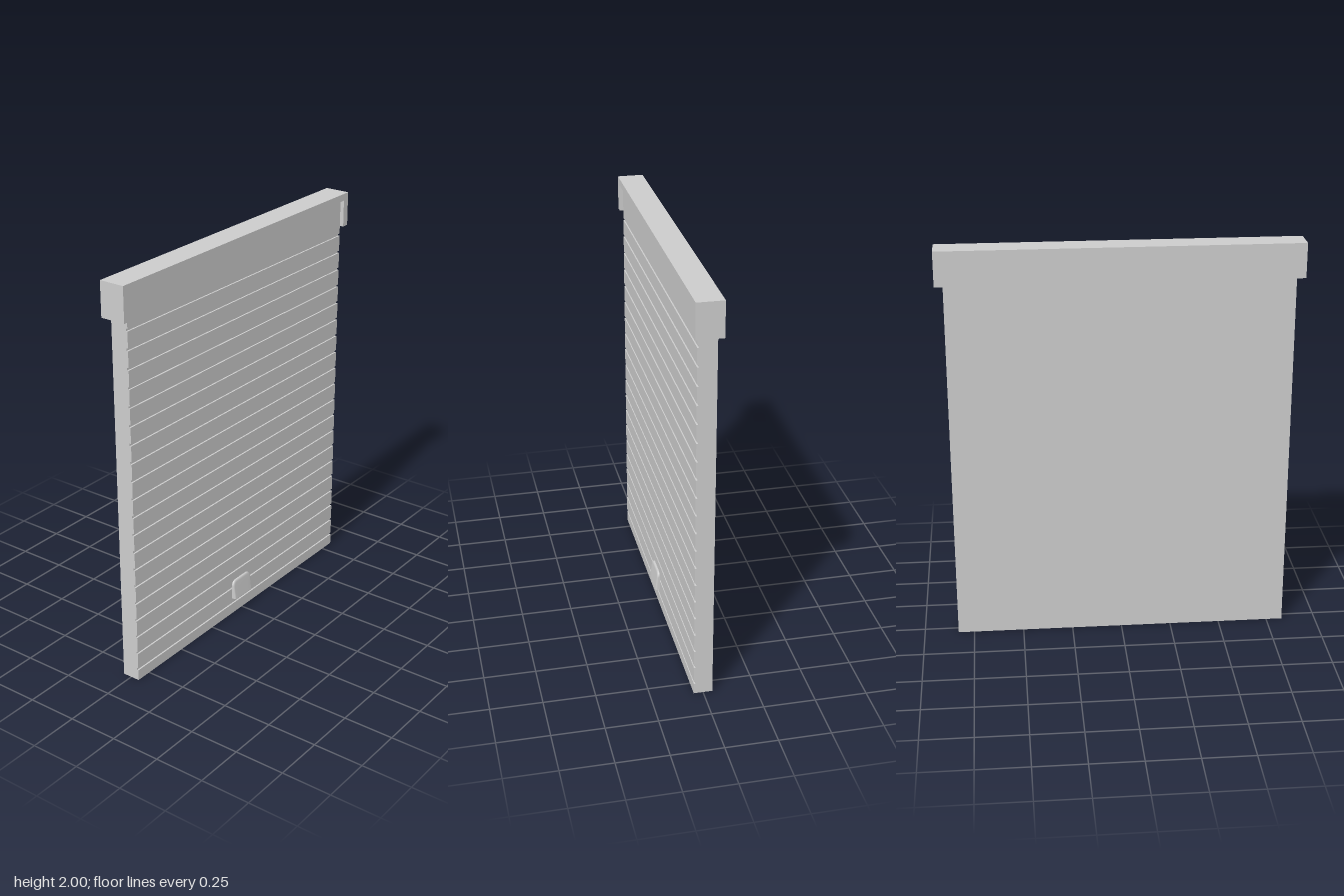
import * as THREE from 'three';

const material = new THREE.MeshStandardMaterial({ color: 0xcccccc });
const thinMaterial = new THREE.MeshStandardMaterial({ color: 0xcccccc, side: THREE.DoubleSide });

function part(name, geometry, mat = material) {
  const mesh = new THREE.Mesh(geometry, mat);
  mesh.name = name;
  return mesh;
}

// Slatted curtain: side profile with evenly spaced grooves, extruded across the width
function curtainGeometry() {
  const half = 0.83, back = -0.045, front = 0.045, top = 1.965;
  const count = 20, first = 0.06, pitch = 0.0908, gap = 0.006, depth = 0.008;
  const shape = new THREE.Shape();
  shape.moveTo(back, 0);
  shape.lineTo(front, 0);
  for (let i = 0; i < count; i++) {
    const y = first + i * pitch;
    shape.lineTo(front, y - gap);
    shape.lineTo(front - depth, y - gap);
    shape.lineTo(front - depth, y + gap);
    shape.lineTo(front, y + gap);
  }
  shape.lineTo(front, top);
  shape.lineTo(back, top);
  shape.closePath();
  const g = new THREE.ExtrudeGeometry(shape, { depth: half * 2, bevelEnabled: false });
  g.rotateY(-Math.PI / 2);
  g.translate(half, 0, 0);
  return g;
}

// Housing frame: top and two cheeks in one piece, open below
function housingGeometry() {
  const shape = new THREE.Shape();
  [[-0.87, 1.83], [-0.833, 1.83], [-0.833, 1.965], [0.833, 1.965],
    [0.833, 1.83], [0.87, 1.83], [0.87, 2], [-0.87, 2]]
    .forEach(([x, y], i) => (i ? shape.lineTo(x, y) : shape.moveTo(x, y)));
  shape.closePath();
  const g = new THREE.ExtrudeGeometry(shape, { depth: 0.128, bevelEnabled: false });
  g.translate(0, 0, -0.065);
  return g;
}

// Hooded pull: arch outlines lofted from the curtain to a sloping face, open below
function handleGeometry() {
  const w = 0.072, h = 0.1, r = 0.028, y0 = 0.09;
  const outline = [[-w, 0], [-w, (h - r) / 2]];
  for (let i = 0; i <= 6; i++) {
    const a = Math.PI - (i / 6) * Math.PI / 2;
    outline.push([-w + r + Math.cos(a) * r, h - r + Math.sin(a) * r]);
  }
  outline.push(...outline.slice().reverse().map(([x, y]) => [-x, y]));
  // [scale of outline, share of the depth]
  const rings = [[1, 0], [1, 0.55], [0.98, 0.8], [0.94, 0.94], [0.88, 1], [0.5, 1], [0, 1]];
  const n = outline.length, positions = [], indices = [];
  rings.forEach(([s, d], j) => {
    outline.forEach(([x, y], i) => {
      const py = y * s;
      positions.push(x * s, y0 + py, 0.044 + d * (0.024 - 0.13 * py));
      if (j && i) {
        const a = (j - 1) * n + i - 1, b = a + 1, c = a + n, e = b + n;
        indices.push(a, b, c, b, e, c);
      }
    });
  });
  // Outline runs clockwise, so flip each triangle to face outwards
  for (let k = 0; k < indices.length; k += 3) {
    [indices[k + 1], indices[k + 2]] = [indices[k + 2], indices[k + 1]];
  }
  const g = new THREE.BufferGeometry();
  g.setAttribute('position', new THREE.Float32BufferAttribute(positions, 3));
  g.setIndex(indices);
  g.computeVertexNormals();
  g.translate(-0.014, 0, 0);
  return g;
}

export function createModel() {
  const model = new THREE.Group();
  model.name = 'rollerShutter';

  model.add(part('slattedCurtain', curtainGeometry()));

  const housing = new THREE.Group();
  housing.name = 'housing';
  housing.add(part('housingFrame', housingGeometry()));
  const backPlate = part('housingBack', new THREE.BoxGeometry(1.666, 0.135, 0.02));
  backPlate.position.set(0, 1.8975, -0.055);
  housing.add(backPlate);
  model.add(housing);

  model.add(part('pullHandle', handleGeometry(), thinMaterial));
  return model;
}
